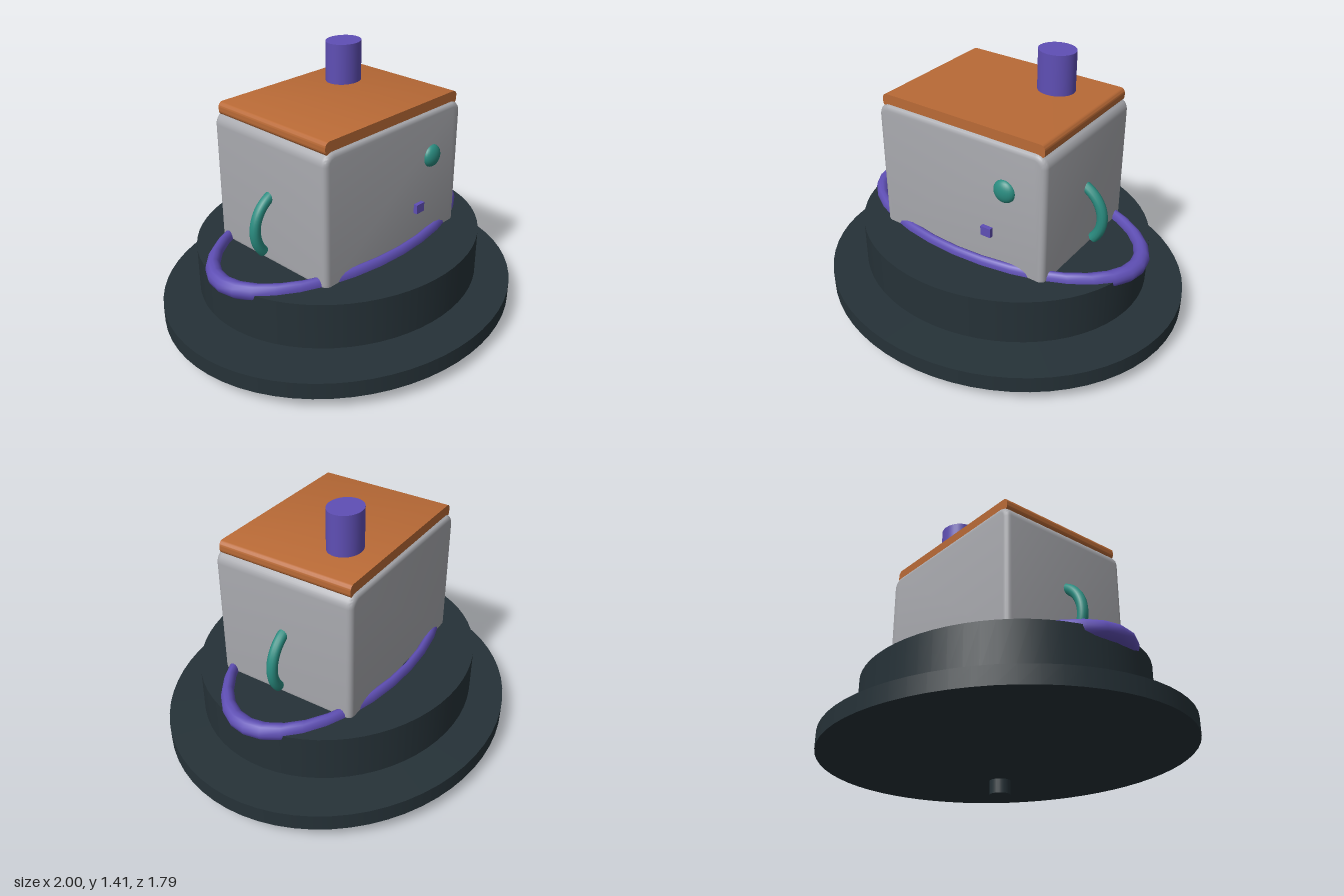
import * as THREE from 'three';
import { toCreasedNormals } from 'three/addons/utils/BufferGeometryUtils.js';

const mat = (name, color, side = THREE.FrontSide) => {
  const m = new THREE.MeshStandardMaterial({ color, side });
  m.name = name;
  return m;
};

// Box with rounded corners in the xy outline and an optional bevel on the z ends
function roundedSlab(w, h, d, radius, bevel) {
  const x = w / 2 - bevel, y = h / 2 - bevel, r = radius - bevel;
  const s = new THREE.Shape();
  s.moveTo(-x + r, -y);
  s.lineTo(x - r, -y);
  s.absarc(x - r, -y + r, r, -Math.PI / 2, 0, false);
  s.lineTo(x, y - r);
  s.absarc(x - r, y - r, r, 0, Math.PI / 2, false);
  s.lineTo(-x + r, y);
  s.absarc(-x + r, y - r, r, Math.PI / 2, Math.PI, false);
  s.lineTo(-x, -y + r);
  s.absarc(-x + r, -y + r, r, Math.PI, Math.PI * 1.5, false);
  const depth = d - 2 * bevel;
  const geo = new THREE.ExtrudeGeometry(s, {
    depth, curveSegments: 5, bevelEnabled: bevel > 0,
    bevelSize: bevel, bevelThickness: bevel, bevelSegments: 4,
  });
  geo.translate(0, 0, -depth / 2);
  return toCreasedNormals(geo, 0.6);
}

export function createModel() {
  const model = new THREE.Group();
  model.name = 'model';
  const slate = mat('dark slate', 0x263238);
  const purple = mat('purple', 0x5f4fb5);
  const orange = mat('orange', 0xb96a36);
  const grey = mat('light grey', 0xa8a9ae);
  const teal = mat('teal', 0x2a8c80);

  const add = (name, geo, material, x, y, z, parent = model) => {
    const mesh = new THREE.Mesh(geo, material);
    mesh.name = name;
    mesh.position.set(x, y, z);
    parent.add(mesh);
    return mesh;
  };
  // Upright cylinder between two heights, with separate x and z radii
  const column = (name, material, x, z, rx, rz, y0, y1, sides = 48) => {
    const geo = new THREE.CylinderGeometry(1, 1, y1 - y0, sides);
    geo.scale(rx, 1, rz);
    return add(name, geo, material, x, (y0 + y1) / 2, z);
  };

  // Oval base, raised drum and the peg through the base
  column('basePlate', slate, 0, 0, 1, 0.893, 0.077, 0.166, 64);
  column('drum', slate, 0, 0, 0.795, 0.71, 0.214, 0.46, 64);
  column('peg', slate, 0.363, 0.278, 0.058, 0.057, 0, 0.24, 24);

  // Body, lid and chimney
  add('body', roundedSlab(0.996, 0.74, 0.776, 0.064, 0.028), grey, 0, 0.78, 0);
  add('lid', roundedSlab(0.956, 0.07, 0.74, 0.027, 0), orange, 0, 1.166, 0);
  column('chimney', purple, 0.2, -0.165, 0.1, 0.088, 1.17, 1.414, 32);

  // Oval ring resting in the top of the drum
  const ring = new THREE.TorusGeometry(0.8, 0.044, 12, 32);
  ring.rotateX(Math.PI / 2);
  ring.scale(1, 1, 0.53);
  add('ring', ring, purple, 0, 0.457, 0);

  // Front knob and small block
  const knob = new THREE.SphereGeometry(0.06, 24, 16);
  knob.scale(1, 1, 0.58);
  add('knob', knob, teal, 0.272, 0.905, 0.386);
  add('frontBlock', new THREE.BoxGeometry(0.058, 0.05, 0.05), purple, 0.173, 0.647, 0.385);

  // Curved handles, one per side, each with a free lower end
  const R = 0.18, start = -0.72;
  for (const side of [1, -1]) {
    const handle = new THREE.Group();
    handle.name = side > 0 ? 'leftHandle' : 'rightHandle';
    handle.position.set(side * 0.412, 0.652, 0);
    if (side < 0) handle.rotation.y = Math.PI;
    const arc = new THREE.TorusGeometry(R, 0.028, 12, 24, 2.2);
    arc.rotateZ(start);
    add('handleArc', arc, teal, 0, 0, 0, handle);
    const cap = new THREE.CircleGeometry(0.028, 12);
    cap.rotateX(Math.PI / 2);
    cap.rotateZ(start);
    add('handleEnd', cap, teal, R * Math.cos(start), R * Math.sin(start), 0, handle);
    model.add(handle);
  }
  return model;
}
